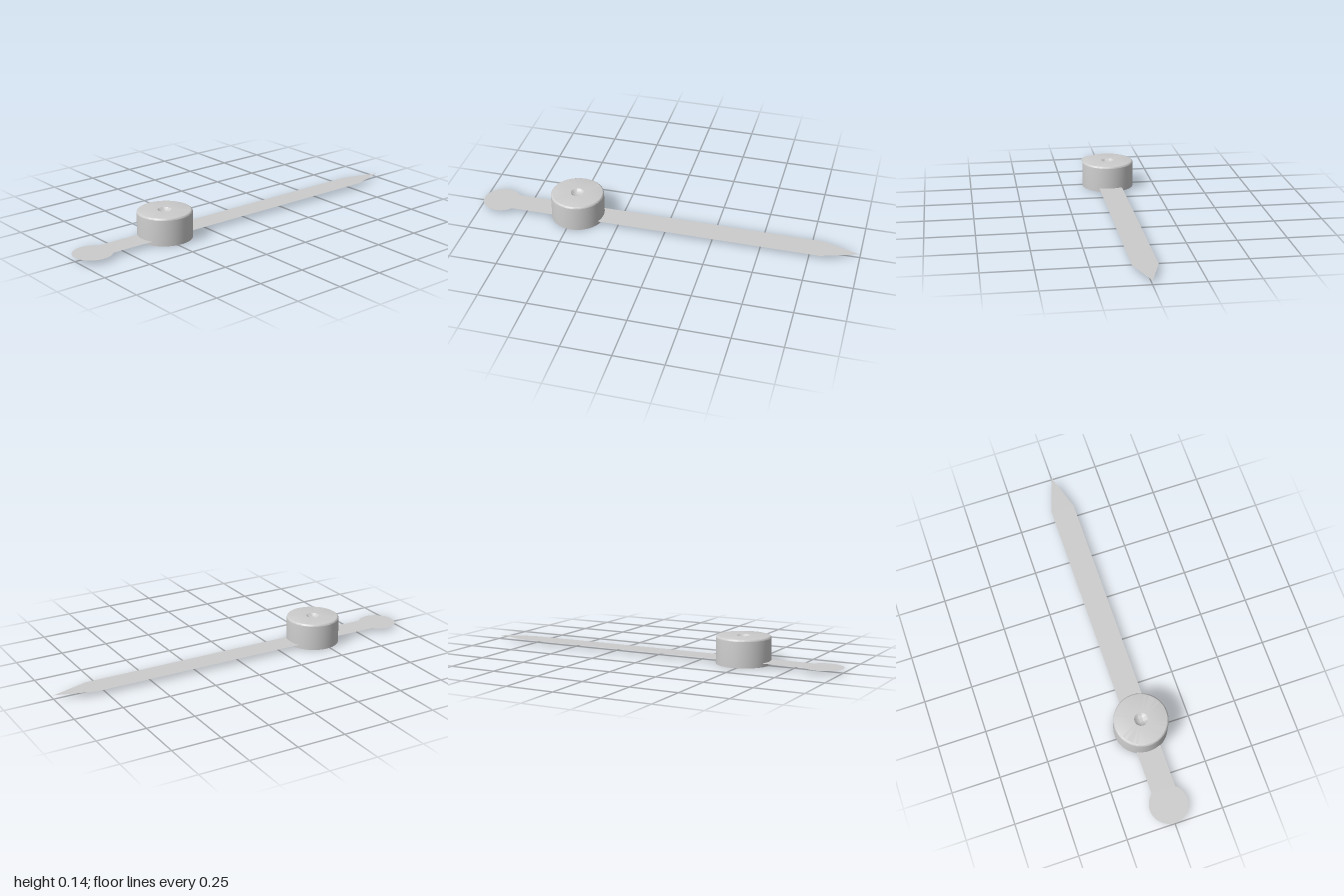
import * as THREE from 'three';
import { toCreasedNormals } from 'three/addons/utils/BufferGeometryUtils.js';

export function createModel() {
  const model = new THREE.Group();
  model.name = 'gaugeNeedle';

  const grey = new THREE.MeshStandardMaterial({ color: 0xcccccc, side: THREE.DoubleSide });
  grey.name = 'light grey';

  // Flat pointer: sharp tip, straight blade and round counterweight, drawn with shape y = -z
  const half = 0.062, discR = 0.098, discZ = 0.902;
  const a = Math.asin(half / discR);
  const outline = new THREE.Shape();
  outline.moveTo(0, 1);
  outline.lineTo(-half, 0.805);
  outline.lineTo(-half, -discZ + discR * Math.cos(a));
  outline.absarc(0, -discZ, discR, Math.PI / 2 + a, Math.PI * 2.5 - a, false);
  outline.lineTo(half, 0.805);
  outline.closePath();
  const needle = new THREE.Mesh(new THREE.ShapeGeometry(outline, 48), grey);
  needle.name = 'needle';
  needle.rotation.x = -Math.PI / 2;
  needle.position.y = 0.02;
  model.add(needle);

  // Hub cap: open underneath, rounded top edge, small spherical dimple in the middle
  const R = 0.138, H = 0.141, bevel = 0.011;
  const profile = [new THREE.Vector2(R, 0)];
  for (let i = 0; i <= 6; i++) {
    const t = (i / 6) * Math.PI / 2;
    profile.push(new THREE.Vector2(R - bevel + bevel * Math.cos(t), H - bevel + bevel * Math.sin(t)));
  }
  const dimpleR = 0.034, depth = 0.016;
  const sphereR = (dimpleR ** 2 + depth ** 2) / (2 * depth);
  const sweep = Math.asin(dimpleR / sphereR);
  for (let i = 0; i <= 6; i++) {
    const t = sweep * (1 - i / 6);
    profile.push(new THREE.Vector2(
      sphereR * Math.sin(t), H - depth + sphereR * (1 - Math.cos(t))));
  }
  const cap = new THREE.Mesh(toCreasedNormals(new THREE.LatheGeometry(profile, 64), 0.6), grey);
  cap.name = 'hubCap';
  cap.position.z = 0.478;
  model.add(cap);

  return model;
}
